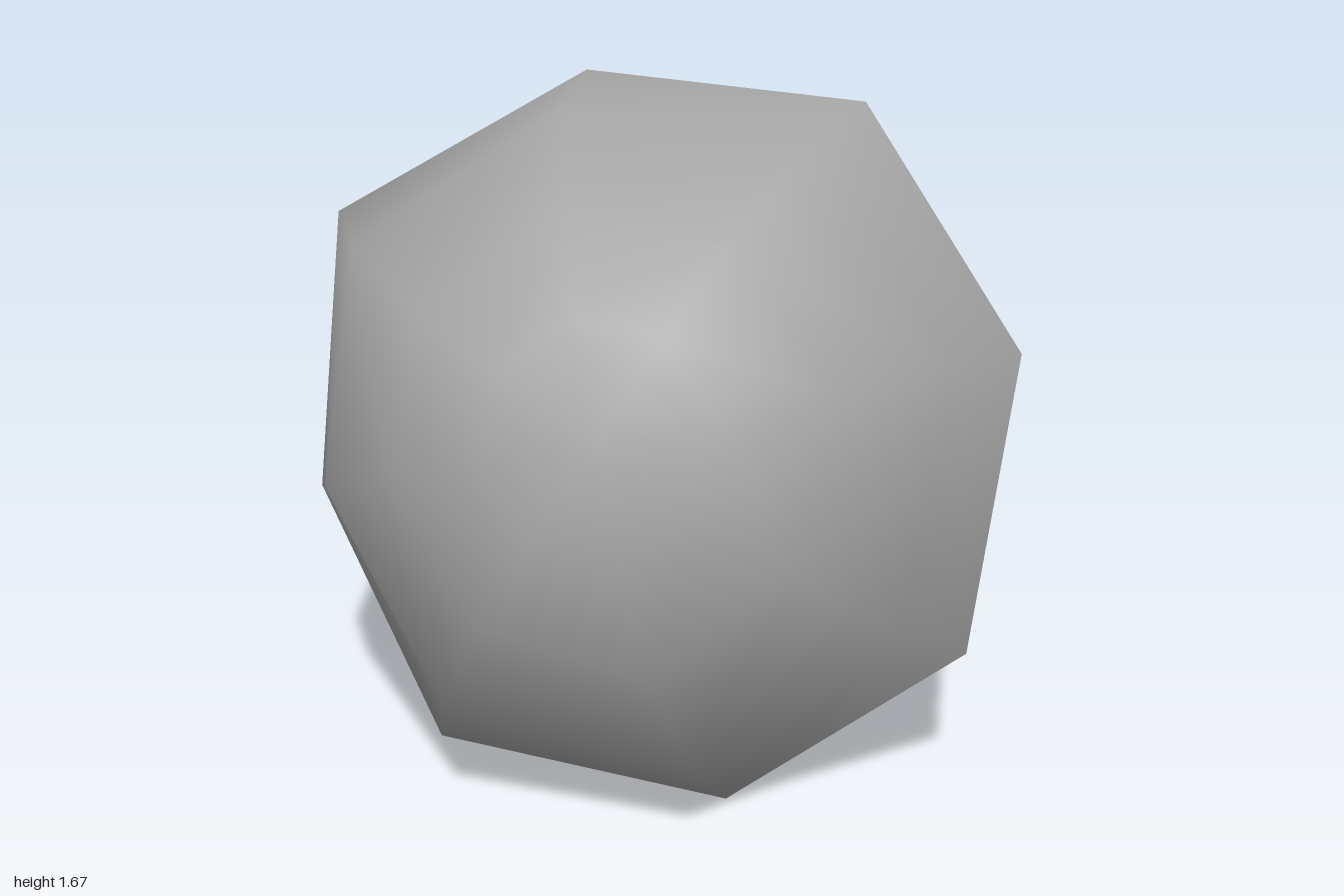
import * as THREE from 'three';

const V = (x, y, z) => new THREE.Vector3(x, y, z);

function meshFrom(name, points, index, material) {
  const g = new THREE.BufferGeometry().setFromPoints(points);
  g.setIndex(index);
  g.computeVertexNormals();
  const m = new THREE.Mesh(g, material);
  m.name = name;
  return m;
}

// Eight-sided spherical cap: arcs run from the apex to each uneven rim corner
function capSurface(name, inside, material) {
  const centre = V(-0.05, 0.81, 0.06);
  const axis = V(0.24, 0.32, 0.916).normalize();
  const radius = 0.955;
  const rim = [
    V(-0.31, 1.67, 0.02), V(0.39, 1.65, -0.06), V(0.81, 1.09, -0.04), V(0.81, 0.44, 0.27),
    V(0.27, 0, 0.45), V(-0.39, 0.14, 0.69), V(-0.81, 0.67, 0.53), V(-0.82, 1.34, 0.37),
  ];
  const n = rim.length;
  const steps = [0.22, 0.43, 0.72, 1];
  const shrink = inside ? 0.97 : 1;
  const points = [axis.clone().multiplyScalar(radius * shrink).add(centre)];
  for (const t of steps) {
    for (const corner of rim) {
      const arm = corner.clone().sub(centre);
      const length = THREE.MathUtils.lerp(radius, arm.length(), t);
      const turn = axis.clone().cross(arm).normalize();
      const p = axis.clone().applyAxisAngle(turn, axis.angleTo(arm) * t);
      points.push(p.multiplyScalar(length * (t < 1 ? shrink : 1)).add(centre));
    }
  }
  const index = [];
  const tri = (a, b, c) => (inside ? index.push(a, c, b) : index.push(a, b, c));
  for (let i = 0; i < n; i++) {
    const j = (i + 1) % n;
    tri(0, 1 + j, 1 + i);
    for (let r = 0; r < steps.length - 1; r++) {
      const k = 1 + r * n;
      tri(k + i, k + j, k + n + j);
      tri(k + i, k + n + j, k + n + i);
    }
  }
  return meshFrom(name, points, index, material);
}

// Five-sided stem with a slight bend, from its free end to the cap's inside
function stem(material) {
  const sides = 5;
  const rings = [
    [V(-0.31, 0.425, -0.96), 0.092],
    [V(-0.16, 0.615, -0.45), 0.108],
    [V(-0.06, 0.84, 0.07), 0.082],
    [V(0.105, 1.19, 0.88), 0.075],
  ];
  const dir = rings[3][0].clone().sub(rings[0][0]).normalize();
  const side = V(0, 1, 0).cross(dir).normalize();
  const up = dir.clone().cross(side);
  const points = [];
  for (const [c, r] of rings) {
    for (let i = 0; i < sides; i++) {
      const a = -Math.PI / 2 + (i / sides) * Math.PI * 2;
      points.push(c.clone().addScaledVector(side, r * Math.cos(a)).addScaledVector(up, r * Math.sin(a)));
    }
  }
  const index = [];
  for (let r = 0; r < rings.length - 1; r++) {
    for (let i = 0; i < sides; i++) {
      const a = r * sides + i;
      const b = r * sides + ((i + 1) % sides);
      index.push(a, b, b + sides, a, b + sides, a + sides);
    }
  }
  const group = new THREE.Group();
  group.name = 'stem';
  group.add(meshFrom('stemSide', points, index, material));
  // Flat cut at the free end
  group.add(meshFrom('stemEnd', points.slice(0, sides), [0, 2, 1, 0, 3, 2, 0, 4, 3], material));
  return group;
}

export function createModel() {
  const grey = new THREE.MeshStandardMaterial({ color: 0xa6a6a6, side: THREE.DoubleSide });
  grey.name = 'plain grey';
  const model = new THREE.Group();
  model.name = 'mushroom';
  const cap = new THREE.Group();
  cap.name = 'cap';
  cap.add(capSurface('capTop', false, grey), capSurface('capUnderside', true, grey));
  model.add(cap, stem(grey));
  return model;
}
